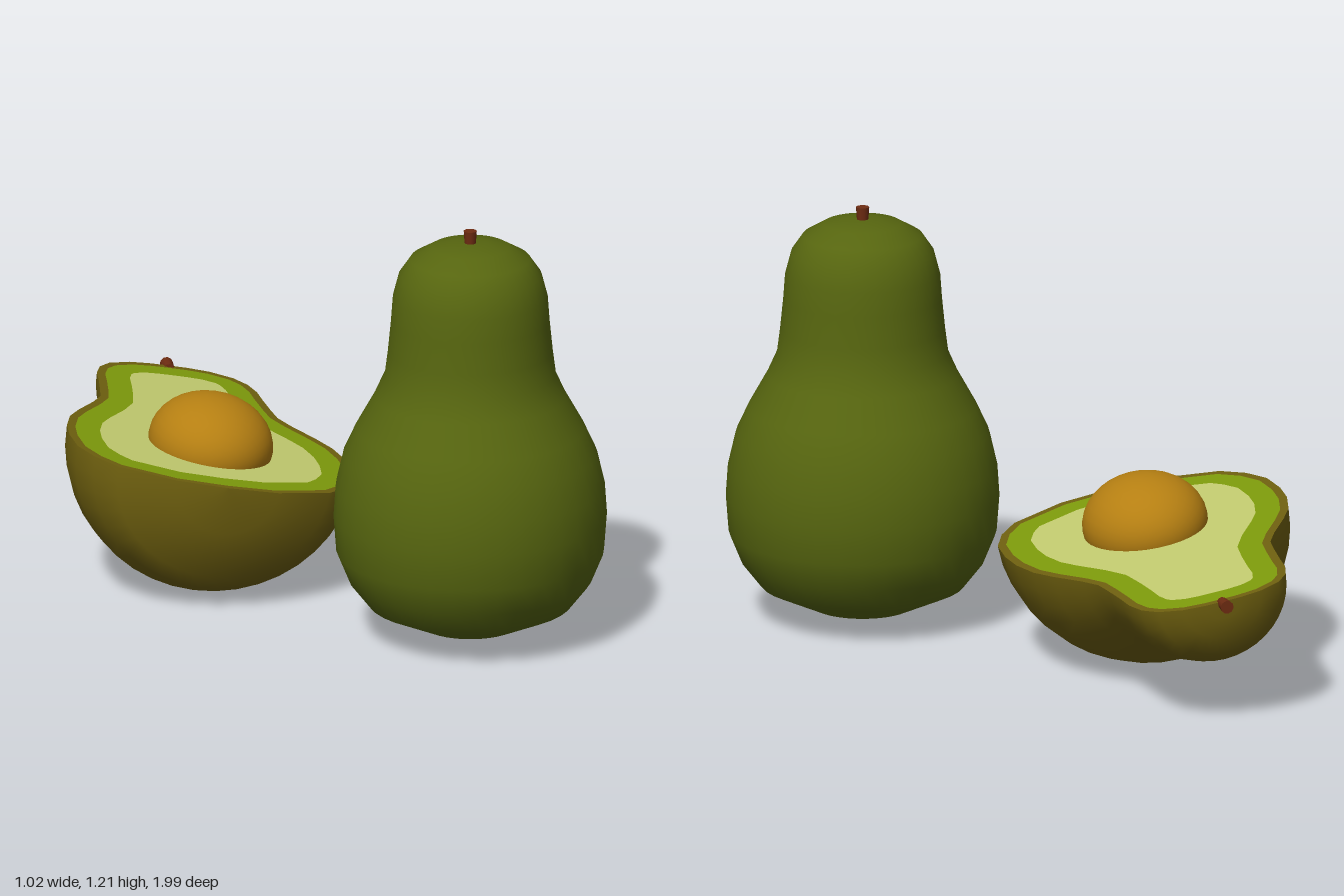
import * as THREE from 'three';

const mat = (name, color) => Object.assign(new THREE.MeshStandardMaterial({ color }), { name });

// Fruit profile from base to crown: [radius, height]
const PROFILE = [
  [0, 0], [0.14, 0.012], [0.29, 0.08], [0.345, 0.15], [0.38, 0.235], [0.388, 0.34],
  [0.382, 0.43], [0.36, 0.525], [0.325, 0.6], [0.272, 0.695], [0.243, 0.76], [0.234, 0.83],
  [0.225, 0.92], [0.22, 0.99], [0.203, 1.055], [0.17, 1.103], [0.11, 1.138], [0.05, 1.149], [0, 1.15],
];
const profile = (w, h) => PROFILE.map(([r, y]) => new THREE.Vector2(r * w, y * h));

// Profile moved inward by a constant distance
function inset(pts, d) {
  return pts.map((p, i) => {
    if (i === 0) return new THREE.Vector2(0, p.y + d);
    if (i === pts.length - 1) return new THREE.Vector2(0, p.y - d);
    const t = pts[i + 1].clone().sub(pts[i - 1]).normalize();
    return new THREE.Vector2(Math.max(0, p.x - t.y * d), p.y + t.x * d);
  });
}

// Closed outline: right side upward, mirrored left side downward
const outline = (pts) => [
  ...pts,
  ...pts.slice(1, -1).reverse().map((p) => new THREE.Vector2(-p.x, p.y)),
];

export function createModel() {
  const model = new THREE.Group();
  const skin = mat('dark green skin', 0x56650f);
  const halfSkin = mat('olive brown skin', 0x6f600f);
  const rimFlesh = mat('green flesh', 0x7e9b0b);
  const flesh = mat('pale flesh', 0xc3cc70);
  const pitMat = mat('golden brown pit', 0xb57f12);
  const stemMat = mat('red brown stem', 0x6e2c12);

  const add = (parent, name, geometry, material, x = 0, y = 0, z = 0) => {
    const mesh = new THREE.Mesh(geometry, material);
    mesh.name = name;
    mesh.position.set(x, y, z);
    parent.add(mesh);
    return mesh;
  };
  const stemGeometry = new THREE.CylinderGeometry(0.019, 0.015, 0.055, 10);

  // Whole fruit, standing upright
  const whole = new THREE.Group();
  whole.name = 'wholeFruit';
  whole.position.set(0.117, 0.03, 0.61);
  add(whole, 'wholeSkin', new THREE.LatheGeometry(profile(1, 1), 36), skin);
  add(whole, 'wholeStem', stemGeometry, stemMat, 0, 1.158, 0);
  model.add(whole);

  // Halved fruit: local y runs along the fruit, local z out of the cut face
  const half = new THREE.Group();
  half.name = 'halfFruit';
  const across = new THREE.Vector3(0.83, -0.176, 0.56).normalize();
  const along = new THREE.Vector3(0.56, -0.017, -0.83).normalize();
  const up = across.clone().cross(along).normalize();
  half.quaternion.setFromRotationMatrix(new THREE.Matrix4().makeBasis(across, along, up));
  half.position.set(-0.294, 0.399, 0.043);
  model.add(half);

  const WIDEN = 1.06;
  const edge = profile(WIDEN, 1.02);
  const shell = new THREE.LatheGeometry(edge, 20, Math.PI / 2, Math.PI);
  shell.scale(1, 1, 1 / WIDEN);
  add(half, 'halfSkin', shell, halfSkin);

  // Cut face: nested bands of skin, green flesh and pale flesh
  const bands = [
    ['skinRim', 0, 0.024, halfSkin],
    ['greenFlesh', 0.024, 0.095, rimFlesh],
    ['paleFlesh', 0.095, null, flesh],
  ];
  for (const [name, outer, inner, material] of bands) {
    const shape = new THREE.Shape(outline(inset(edge, outer)));
    if (inner !== null) shape.holes.push(new THREE.Path(outline(inset(edge, inner))));
    add(half, name, new THREE.ShapeGeometry(shape), material);
  }

  // Pit sitting in the cut face
  const pit = new THREE.SphereGeometry(1, 32, 20);
  pit.scale(0.178, 0.2, 0.142);
  add(half, 'pit', pit, pitMat, 0.004, 0.393, 0.015);

  add(half, 'halfStem', stemGeometry, stemMat, 0, 1.185, -0.006);
  return model;
}
